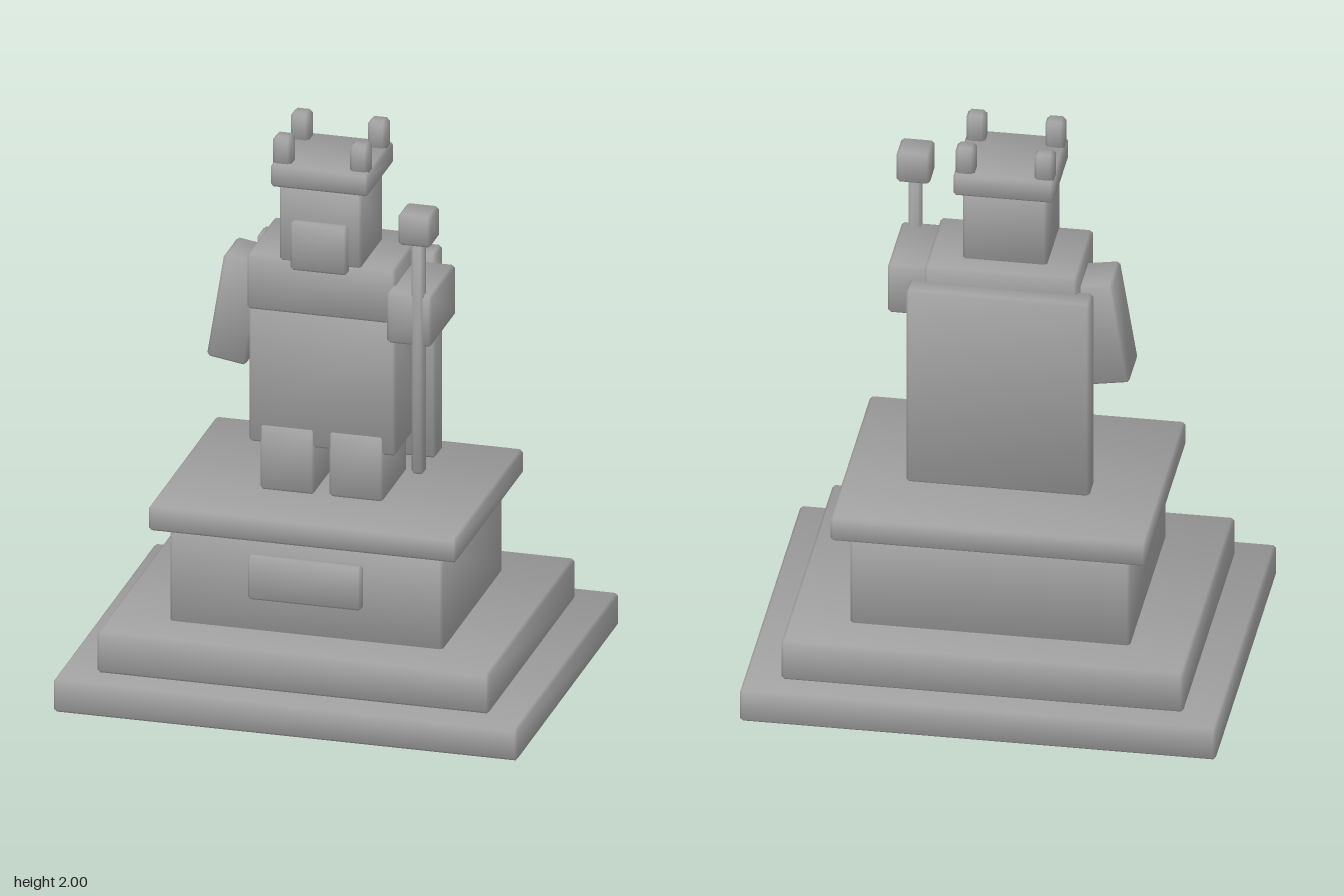
import * as THREE from 'three';

const stone = new THREE.MeshStandardMaterial({ color: 0xa0a0a0 });
stone.name = 'grey stone';

// Box with chamfered edges and soft normals shared across the chamfers
function chamferBox(w, h, d, bevel) {
  const half = [w / 2, h / 2, d / 2];
  const pos = [], nor = [], index = [];
  const id = (axis, s) => axis * 8 + (s[0] > 0 ? 4 : 0) + (s[1] > 0 ? 2 : 0) + (s[2] > 0 ? 1 : 0);
  for (let axis = 0; axis < 3; axis++) {
    for (let k = 0; k < 8; k++) {
      const s = [k & 4 ? 1 : -1, k & 2 ? 1 : -1, k & 1 ? 1 : -1];
      const n = new THREE.Vector3(...s.map((v, i) => v * (i === axis ? 1 : 0.4))).normalize();
      pos.push(...s.map((v, i) => v * (half[i] - (i === axis ? 0 : bevel))));
      nor.push(n.x, n.y, n.z);
    }
  }
  const point = i => new THREE.Vector3().fromArray(pos, i * 3);
  // Add a triangle, turned to face away from the centre
  const tri = (a, b, c) => {
    const A = point(a), B = point(b), C = point(c);
    const out = B.clone().sub(A).cross(C.clone().sub(A)).dot(A.add(B).add(C)) > 0;
    index.push(a, out ? b : c, out ? c : b);
  };
  const quad = (a, b, c, e) => { tri(a, b, c); tri(a, c, e); };
  const signs = (axis, a, b, c) => {
    const s = [0, 0, 0];
    s[axis] = a; s[(axis + 1) % 3] = b; s[(axis + 2) % 3] = c;
    return s;
  };
  for (let axis = 0; axis < 3; axis++) {
    const next = (axis + 1) % 3;
    for (const a of [-1, 1]) {
      // Flat face
      quad(...[[-1, -1], [1, -1], [1, 1], [-1, 1]].map(([b, c]) => id(axis, signs(axis, a, b, c))));
      // Edge chamfers between this face and the next axis
      for (const b of [-1, 1]) {
        const lo = signs(axis, a, b, -1), hi = signs(axis, a, b, 1);
        quad(id(axis, lo), id(axis, hi), id(next, hi), id(next, lo));
      }
    }
  }
  // Corner triangles
  for (let k = 0; k < 8; k++) tri(k, 8 + k, 16 + k);
  const g = new THREE.BufferGeometry();
  g.setAttribute('position', new THREE.Float32BufferAttribute(pos, 3));
  g.setAttribute('normal', new THREE.Float32BufferAttribute(nor, 3));
  g.setIndex(index);
  return g;
}

export function createModel() {
  const model = new THREE.Group();
  model.name = 'kingStatue';

  // Block given by its extents along x, y and z
  const block = (name, [x0, x1], [y0, y1], [z0, z1], bevel = 0.01) => {
    const mesh = new THREE.Mesh(chamferBox(x1 - x0, y1 - y0, z1 - z0, bevel), stone);
    mesh.position.set((x0 + x1) / 2, (y0 + y1) / 2, (z0 + z1) / 2);
    mesh.name = name;
    model.add(mesh);
    return mesh;
  };

  // Stepped pedestal
  block('lowerStep', [-0.817, 0.817], [0, 0.12], [-0.636, 0.636]);
  block('upperStep', [-0.69, 0.69], [0.12, 0.27], [-0.54, 0.54]);
  block('plinth', [-0.48, 0.48], [0.26, 0.62], [-0.374, 0.374]);
  block('plinthCap', [-0.542, 0.542], [0.61, 0.70], [-0.422, 0.422]);
  block('plaque', [-0.2, 0.2], [0.387, 0.547], [0.36, 0.4]);

  // Body and cloak
  block('rightFoot', [-0.22, -0.028], [0.70, 0.94], [-0.12, 0.175]);
  block('leftFoot', [0.023, 0.215], [0.70, 0.94], [-0.12, 0.175]);
  block('robe', [-0.26, 0.257], [0.87, 1.4], [-0.145, 0.17]);
  block('shoulders', [-0.263, 0.26], [1.36, 1.562], [-0.163, 0.185]);
  block('cloak', [-0.317, 0.313], [0.75, 1.5], [-0.225, -0.132]);

  // Head, beard and crown
  block('head', [-0.147, 0.143], [1.55, 1.83], [-0.08, 0.19]);
  block('beard', [-0.102, 0.098], [1.53, 1.707], [0.16, 0.215]);
  block('crownBand', [-0.175, 0.17], [1.823, 1.906], [-0.116, 0.203]);
  for (const x of [-0.139, 0.132]) {
    for (const z of [-0.069, 0.154]) {
      block('crownPoint', [x - 0.033, x + 0.033], [1.89, 2.0], [z - 0.033, z + 0.033], 0.012);
    }
  }

  // Arms: one hanging, one reaching forward
  const arm = block('rightArm', [-0.403, -0.263], [1.117, 1.499], [-0.09, 0.087]);
  arm.rotation.z = -0.16;
  block('leftArm', [0.245, 0.403], [1.313, 1.5], [-0.065, 0.241]);

  // Sceptre
  block('sceptreStaff', [0.333, 0.376], [0.845, 1.72], [0.203, 0.247]);
  block('sceptreHead', [0.296, 0.411], [1.692, 1.806], [0.164, 0.28]);

  return model;
}
